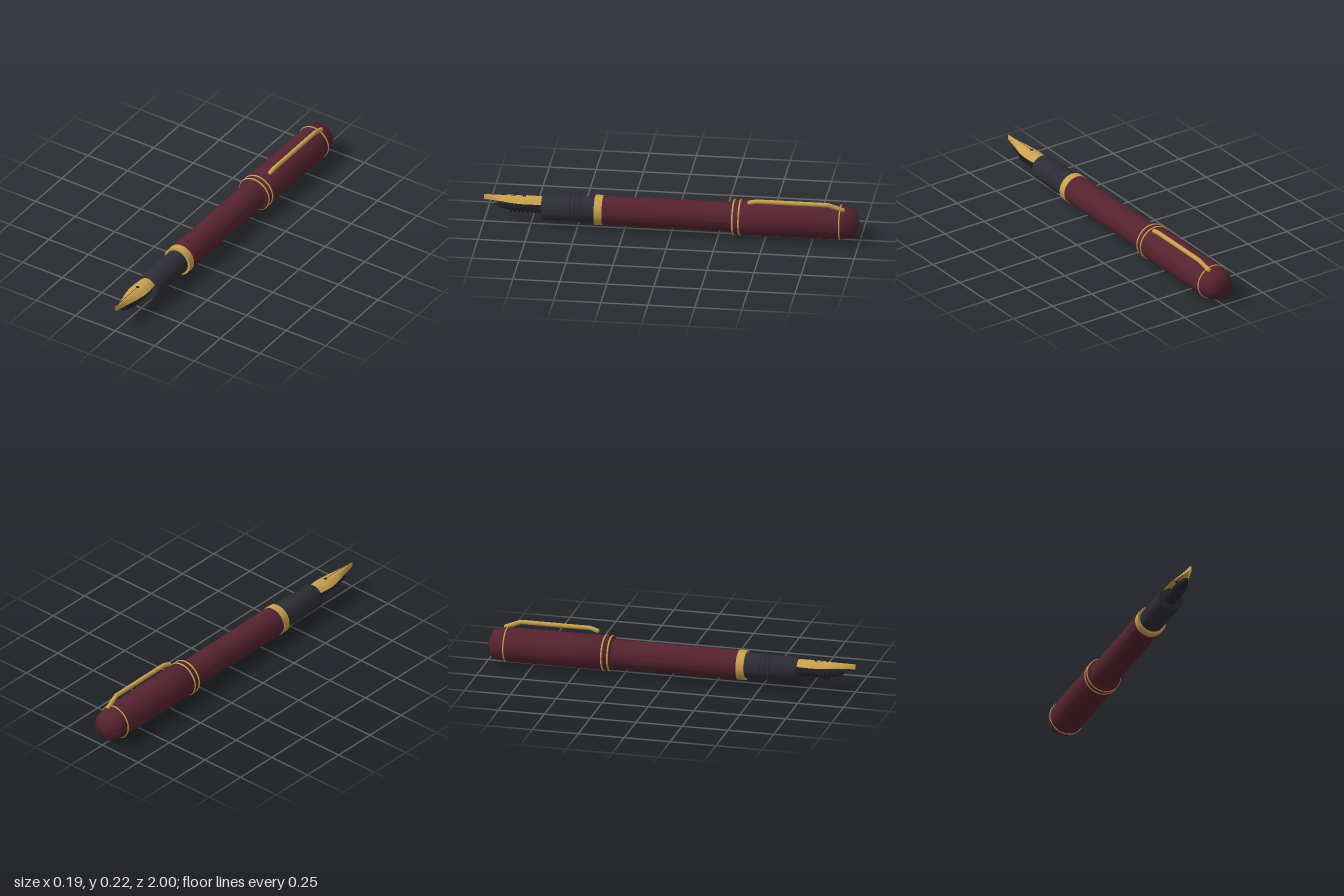
import * as THREE from 'three';
import { toCreasedNormals } from 'three/addons/utils/BufferGeometryUtils.js';

const AXIS_Y = 0.0965; // height of the pen's long axis

export function createModel() {
  const pen = new THREE.Group();
  pen.name = 'fountainPen';

  const mat = (name, color, side = THREE.FrontSide) => {
    const m = new THREE.MeshStandardMaterial({ color, side });
    m.name = name;
    return m;
  };
  const maroon = mat('maroon', 0x56232f);
  const gold = mat('gold', 0xc9a04e, THREE.DoubleSide);
  const black = mat('black', 0x2d2d35);
  const ink = mat('ink', 0x222226);

  const add = (name, geometry, material, parent = pen) => {
    const mesh = new THREE.Mesh(geometry, material);
    mesh.name = name;
    parent.add(mesh);
    return mesh;
  };

  // Solid of revolution along z; profile is [radius, z] with rising z
  const turned = (name, profile, material, y = AXIS_Y) => {
    const points = profile.map(([r, z]) => new THREE.Vector2(r, z));
    const geo = new THREE.LatheGeometry(points, 48).rotateX(Math.PI / 2);
    return add(name, toCreasedNormals(geo, 1.1), material).position.y = y;
  };
  const ring = (name, radius, tube, z, material) =>
    add(name, new THREE.TorusGeometry(radius, tube, 10, 64), material).position.set(0, AXIS_Y, z);

  // Cap with its domed end
  turned('finial', [[0, -1], [0.074, -0.972], [0.0915, -0.9], [0.0915, -0.89]], maroon);
  turned('cap', [[0.0915, -0.895], [0.0925, -0.6], [0.0925, -0.326], [0.086, -0.317], [0.07, -0.317]], maroon);
  ring('finialRing', 0.0915, 0.004, -0.897, gold);
  for (const z of [-0.363, -0.33]) ring('capBand', 0.0915, 0.005, z, gold);

  // Barrel, collar and grip
  turned('barrel', [[0.07, -0.33], [0.077, -0.33], [0.077, 0.37], [0.06, 0.37]], maroon);
  turned('collar', [[0.06, 0.366], [0.08, 0.366], [0.08, 0.408], [0.06, 0.408]], gold);
  turned('grip', [[0.067, 0.4], [0.067, 0.684], [0.064, 0.69], [0, 0.69]], black);
  for (const z of [0.49, 0.515, 0.54]) ring('gripRing', 0.0665, 0.004, z, black);

  // Clip: a bent rod standing off the cap, turned towards the model's left
  const clip = new THREE.Group();
  clip.name = 'clip';
  clip.position.y = AXIS_Y;
  clip.rotation.z = -0.386;
  pen.add(clip);
  const bends = [[0.092, -0.912], [0.123, -0.835], [0.123, -0.455], [0.112, -0.417]]
    .map(([y, z]) => new THREE.Vector3(0, y, z));
  const path = new THREE.CurvePath();
  for (let i = 1; i < bends.length; i++) path.add(new THREE.LineCurve3(bends[i - 1], bends[i]));
  add('clipRod', new THREE.TubeGeometry(path, 80, 0.0122, 10), gold, clip);
  for (const end of [bends[0], bends[3]]) {
    add('clipEnd', new THREE.SphereGeometry(0.0122, 10, 8), gold, clip).position.copy(end);
  }

  // Nib: an arched sheet whose half-width follows an outline
  const outline = new THREE.SplineCurve([
    [0.045, 0.66], [0.046, 0.69], [0.05, 0.74], [0.051, 0.785], [0.042, 0.845],
    [0.027, 0.9], [0.015, 0.95], [0.004, 1],
  ].map(([w, z]) => new THREE.Vector2(w, z)));
  const nib = new THREE.PlaneGeometry(2, 1, 14, 35).rotateX(-Math.PI / 2);
  const pos = nib.attributes.position;
  for (let i = 0; i < pos.count; i++) {
    const s = pos.getX(i);
    const p = outline.getPoint(pos.getZ(i) + 0.5);
    pos.setXYZ(i, s * p.x, 0.155 - 0.027 * s * s, p.y);
  }
  nib.computeVertexNormals();
  add('nib', nib, gold);
  add('breatherHole', new THREE.CylinderGeometry(0.009, 0.009, 0.004, 20), ink).position.set(0, 0.1545, 0.785);
  add('nibSlit', new THREE.BoxGeometry(0.002, 0.002, 0.21), ink).position.set(0, 0.1545, 0.893);

  // Feed with its comb of fins
  turned('feed', [[0.026, 0.68], [0.025, 0.86], [0.021, 0.9], [0.012, 0.93], [0, 0.944]], ink, 0.101);
  const fin = new THREE.CylinderGeometry(0.0325, 0.0325, 0.011, 28).rotateX(Math.PI / 2);
  for (let i = 0; i < 8; i++) add('feedFin', fin, ink).position.set(0, 0.0955, 0.703 + i * 0.0215);

  return pen;
}
